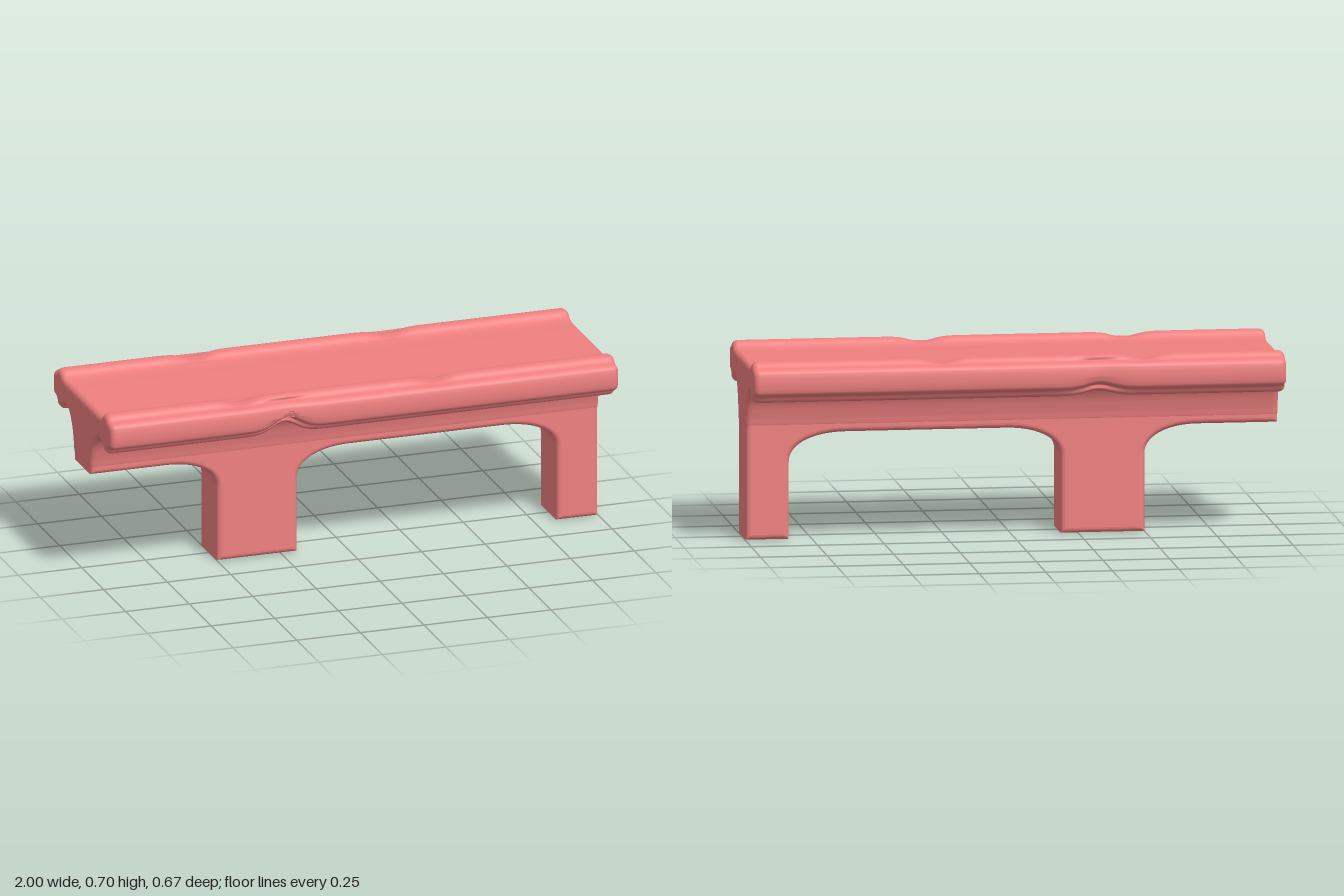
import * as THREE from 'three';

const material = new THREE.MeshStandardMaterial({ color: 0xf08080 });

// Half of the deck's cross-section as [z, y], from top centre round to the stem
const HALF = [
  [0, 0.672], [0.1, 0.672], [0.19, 0.672], [0.22, 0.678], [0.24, 0.694], [0.278, 0.694],
  [0.295, 0.679], [0.32, 0.673], [0.333, 0.658], [0.333, 0.59], [0.32, 0.575], [0.295, 0.569],
  [0.278, 0.546], [0.238, 0.546], [0.224, 0.564], [0.19, 0.572], [0.155, 0.56],
  [0.125, 0.518], [0.107, 0.46], [0.095, 0.42], [0, 0.42],
];

const bump = (x, centre, width) => Math.exp(-(((x - centre) / width) ** 2));

// Worn dips along the two rails
function wear(x, z, y) {
  if (Math.abs(z) < 0.21) return [z, y];
  const front = z > 0;
  if (y > 0.66) {
    const high = Math.max(0, y - 0.672) / 0.022;
    y -= high * 0.018 * (bump(x, -0.47, 0.06) + bump(x, 0.29, 0.06));
  } else if (y < 0.61) {
    y += (front ? 0.045 : 0.02) * bump(x, -0.3, 0.065);
  }
  if (Math.abs(z) > 0.29) z -= Math.sign(z) * 0.01 * bump(x, -0.3, 0.08);
  return [z, y];
}

// Deck with rails and flared underside, lofted along x with rounded ends
function deckGeometry() {
  const loop = [...HALF, ...HALF.slice(1, -1).reverse().map(([z, y]) => [-z, y])];
  const curve = new THREE.CatmullRomCurve3(
    loop.map(([z, y]) => new THREE.Vector3(z, y, 0)), true, 'centripetal');
  const n = 160;
  const ring = [];
  for (let i = 0; i < n; i++) {
    const p = curve.getPoint(i / n);
    const t = curve.getTangent(i / n);
    ring.push({ z: p.x, y: p.y, nz: -t.y, ny: t.x }); // outward normal of the section
  }

  // Stations: [x, inset], with a quarter round at each end
  const r = 0.022;
  const stations = [];
  for (let i = 0; i <= 5; i++) {
    const a = (i / 5) * Math.PI / 2;
    stations.push([-1 + r * (1 - Math.sin(a)), r * (1 - Math.cos(a))]);
  }
  stations.reverse();
  stations.forEach((s) => { s[0] = -2 - s[0] + r; });
  stations.length = 0;
  for (let i = 0; i <= 5; i++) {
    const a = (i / 5) * Math.PI / 2;
    stations.push([-1 + r * (1 - Math.cos(a)), r * (1 - Math.sin(a))]);
  }
  for (let i = 1; i < 100; i++) stations.push([(-1 + r) + (2 - 2 * r) * i / 100, 0]);
  for (let i = 5; i >= 0; i--) stations.push([-stations[i][0], stations[i][1]]);

  const positions = [];
  const index = [];
  for (const [x, inset] of stations) {
    for (const p of ring) {
      const [z, y] = wear(x, p.z - p.nz * inset, p.y - p.ny * inset);
      positions.push(x, y, z);
    }
  }
  for (let s = 0; s < stations.length - 1; s++) {
    for (let i = 0; i < n; i++) {
      const a = s * n + i;
      const b = s * n + (i + 1) % n;
      index.push(a, b, a + n, b, b + n, a + n);
    }
  }

  // Flat end caps
  for (const s of [0, stations.length - 1]) {
    const start = positions.length / 3;
    const contour = [];
    for (let i = 0; i < n; i++) {
      const k = (s * n + i) * 3;
      positions.push(positions[k], positions[k + 1], positions[k + 2]);
      contour.push(new THREE.Vector2(positions[k + 2], positions[k + 1]));
    }
    for (const [a, b, c] of THREE.ShapeUtils.triangulateShape(contour, [])) {
      // Triangles wind so that the cap faces away from the deck
      const A = contour[a], B = contour[b], C = contour[c];
      const area = (B.x - A.x) * (C.y - A.y) - (B.y - A.y) * (C.x - A.x);
      const facesMinus = area > 0;
      if (facesMinus === (s === 0)) index.push(start + a, start + b, start + c);
      else index.push(start + a, start + c, start + b);
    }
  }
  const geometry = new THREE.BufferGeometry();
  geometry.setAttribute('position', new THREE.Float32BufferAttribute(positions, 3));
  geometry.setIndex(index);
  geometry.computeVertexNormals();
  return geometry;
}

// Beam and two legs in one side outline, drawn inside its bevel
function supportGeometry() {
  const b = 0.02;
  const L = -0.998 + b, R = 0.998 - b;
  const under = 0.4 + b;
  const shape = new THREE.Shape();
  shape.moveTo(L, 0.6);
  shape.lineTo(L, under);
  shape.lineTo(-0.7, under);
  shape.bezierCurveTo(-0.57, under, -0.5 + b, 0.37, -0.5 + b, 0.29);
  shape.lineTo(-0.5 + b, b);
  shape.lineTo(-0.185 - b, b);
  shape.lineTo(-0.185 - b, 0.29);
  shape.bezierCurveTo(-0.185 - b, 0.37, -0.11, under, 0.02, under);
  shape.lineTo(0.62, under);
  shape.bezierCurveTo(0.76, under, 0.835 + b, 0.37, 0.835 + b, 0.29);
  shape.lineTo(0.835 + b, b);
  shape.lineTo(R, b);
  shape.lineTo(R, 0.6);
  const depth = 0.204 - 2 * b;
  const geometry = new THREE.ExtrudeGeometry(shape, {
    depth, bevelEnabled: true, bevelSize: b, bevelThickness: b, bevelSegments: 5, curveSegments: 16,
  });
  return geometry.translate(0, 0, -depth / 2);
}

export function createModel() {
  const group = new THREE.Group();
  group.name = 'bench';
  const add = (name, geometry) => {
    const mesh = new THREE.Mesh(geometry, material);
    mesh.name = name;
    group.add(mesh);
  };
  add('deckWithRails', deckGeometry());
  add('beamAndLegs', supportGeometry());
  return group;
}
